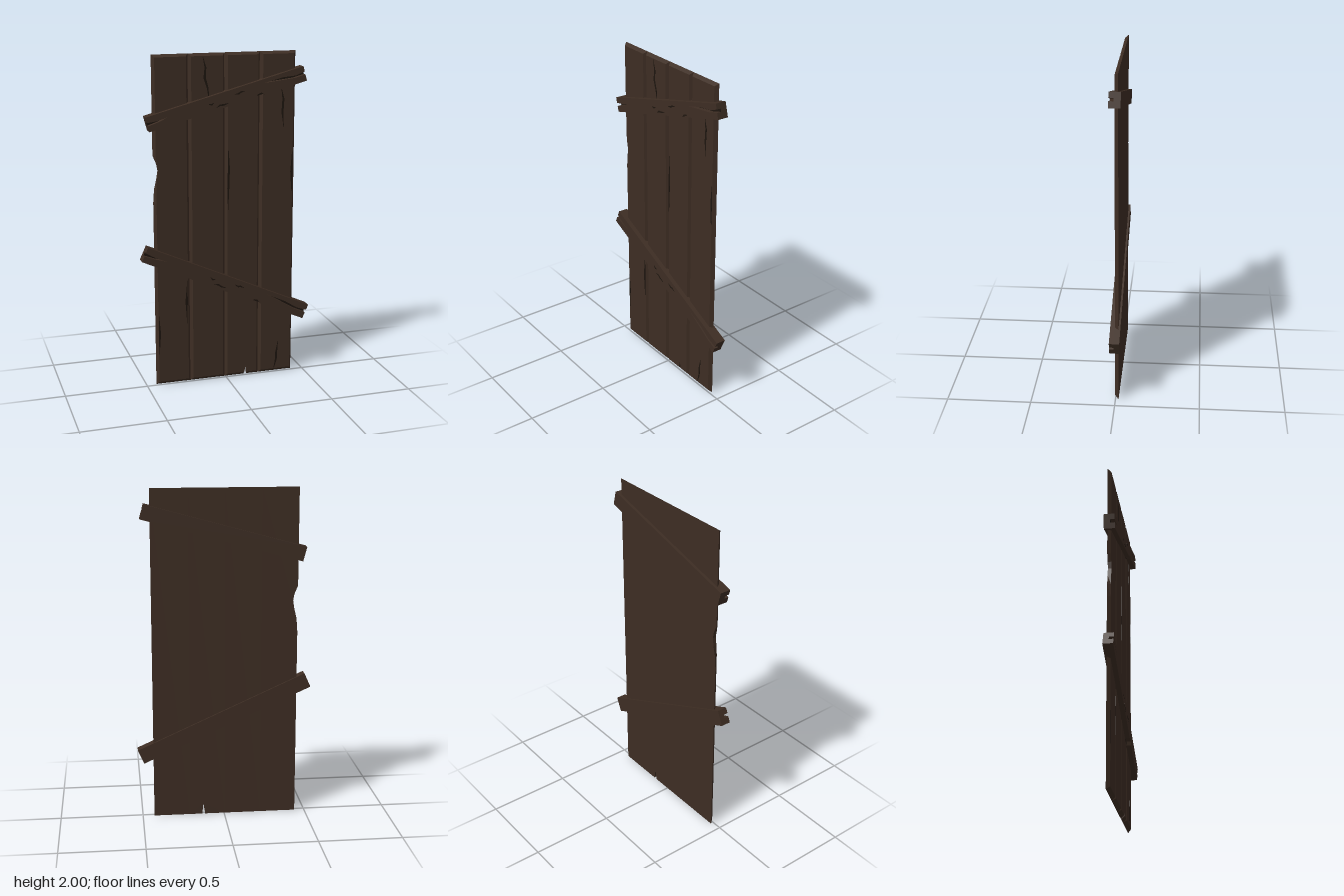
import * as THREE from 'three';

const wood = new THREE.MeshStandardMaterial({ color: 0x3d2d23, flatShading: true });
wood.name = 'dark wood';
const crackMat = new THREE.MeshStandardMaterial({ color: 0x1d150f, flatShading: true });
crackMat.name = 'crack shadow';

const BACK = -0.018, FRONT = 0.003, H = 2;
const vec = ([x, y]) => new THREE.Vector2(x, y);

function addMesh(parent, name, geometry, material) {
  const mesh = new THREE.Mesh(geometry, material);
  mesh.name = name;
  parent.add(mesh);
  return mesh;
}

// Plank: a counter-clockwise back outline lofted to a front outline pulled in by the bevel
function plankGeometry(outline, x0, x1) {
  const clamp = THREE.MathUtils.clamp;
  const back = outline.map(vec);
  const front = outline.map(([x, y]) =>
    new THREE.Vector2(clamp(x, x0 + 0.015, x1 - 0.015), clamp(y, 0.02, H - 0.015)));
  const pos = [];
  const put = (p, z) => pos.push(p.x, p.y, z);
  for (const [a, b, c] of THREE.ShapeUtils.triangulateShape(front, [])) {
    [a, b, c].forEach(i => put(front[i], FRONT));
  }
  for (const [a, b, c] of THREE.ShapeUtils.triangulateShape(back, [])) {
    [a, c, b].forEach(i => put(back[i], BACK));
  }
  back.forEach((p, i) => {
    const j = (i + 1) % back.length;
    put(p, BACK); put(back[j], BACK); put(front[j], FRONT);
    put(p, BACK); put(front[j], FRONT); put(front[i], FRONT);
  });
  const g = new THREE.BufferGeometry();
  g.setAttribute('position', new THREE.Float32BufferAttribute(pos, 3));
  g.computeVertexNormals();
  return g;
}

// Thin painted crack: tapered sliver along a path of points, widest in the middle
function crackGeometry(points, width) {
  const left = [], right = [];
  points.forEach(([x, y], i) => {
    const t = i / (points.length - 1);
    const w = width * (0.12 + 0.88 * Math.sin(Math.PI * t)) / 2;
    const [px, py] = points[Math.max(i - 1, 0)];
    const [nx, ny] = points[Math.min(i + 1, points.length - 1)];
    const len = Math.hypot(nx - px, ny - py);
    const dx = -(ny - py) / len * w, dy = (nx - px) / len * w;
    left.push([x + dx, y + dy]);
    right.unshift([x - dx, y - dy]);
  });
  const shape = new THREE.Shape([...left, ...right].map(vec));
  return new THREE.ExtrudeGeometry(shape, { depth: 0.001, bevelEnabled: false });
}

// Brace: solid back layer, and a front layer with split ends and a chipped lower edge
function makeBrace(name, length, width, y, angle, back, front) {
  const brace = new THREE.Group();
  brace.name = name;
  const mid = 0.004, h = width / 2, L = length;
  const outline = [
    [-L / 2, -h], [0.17 * L, -h], [0.185 * L, -h + 0.014], [0.21 * L, -h + 0.017], [0.225 * L, -h],
    [L / 2, -h], [L / 2, -0.006], [0.43 * L, -0.006], [0.36 * L, 0.004], [0.24 * L, 0.021],
    [0.36 * L, 0.019], [0.44 * L, 0.006], [L / 2, 0.012],
    [L / 2, h], [-L / 2, h], [-L / 2, 0.011], [-0.44 * L, 0.004], [-0.37 * L, 0.006],
    [-0.44 * L, -0.005], [-L / 2, -0.009],
  ];
  const layer = addMesh(brace, 'splitFrontLayer', new THREE.ExtrudeGeometry(
    new THREE.Shape(outline.map(vec)), { depth: front - mid, bevelEnabled: false }), wood);
  layer.position.z = mid;
  const core = addMesh(brace, 'backLayer', new THREE.BoxGeometry(L, width, mid - back),
    [wood, wood, wood, wood, crackMat, wood]);
  core.position.z = (mid + back) / 2;
  const cracks = [
    [[0.045, 0.012], [0.07, 0.008], [0.085, 0.014], [0.11, 0.012]],
    [[-0.08, -0.03], [-0.055, -0.022], [-0.03, -0.027], [0, -0.025]],
    [[-0.12, 0.004], [-0.1, -0.004], [-0.085, 0.002]],
  ];
  for (const path of cracks) {
    addMesh(brace, 'braceCrack', crackGeometry(path, 0.011), crackMat).position.z = front;
  }
  brace.position.y = y;
  brace.rotation.z = THREE.MathUtils.degToRad(angle);
  return brace;
}

export function createModel() {
  const model = new THREE.Group();
  model.name = 'plankDoor';

  // Four bevelled planks; the first has a worn edge, the third a split foot
  const edges = [-0.44, -0.225, -0.006, 0.21, 0.43];
  const wornEdge = [[-0.44, 1.42], [-0.419, 1.37], [-0.412, 1.33], [-0.42, 1.28], [-0.434, 1.22], [-0.44, 1.14]];
  const footSplit = [[0.117, 0], [0.128, 0.07], [0.135, 0]];
  for (let i = 0; i < 4; i++) {
    const x0 = edges[i], x1 = edges[i + 1];
    const outline = [[x0, 0], ...(i === 2 ? footSplit : []), [x1, 0], [x1, H], [x0, H],
      ...(i === 0 ? wornEdge : [])];
    addMesh(model, 'plank' + (i + 1), plankGeometry(outline, x0, x1), wood);
  }

  // Long grain cracks on the planks
  const grain = [
    [[-0.14, 1.98], [-0.125, 1.92], [-0.13, 1.86], [-0.112, 1.8], [-0.105, 1.74]],
    [[0.34, 1.78], [0.352, 1.72], [0.347, 1.64], [0.356, 1.55]],
    [[0.412, 1.4], [0.409, 1.28], [0.412, 1.15]],
    [[0.013, 1.44], [0.016, 1.32], [0.012, 1.2], [0.011, 1.07]],
    [[-0.243, 0.66], [-0.25, 0.52], [-0.246, 0.37]],
    [[-0.422, 0.45], [-0.418, 0.33], [-0.422, 0.2]],
    [[0.337, 0.2], [0.327, 0.13], [0.325, 0.08], [0.31, 0.02]],
  ];
  for (const path of grain) {
    addMesh(model, 'plankCrack', crackGeometry(path, 0.014), crackMat).position.z = FRONT;
  }

  // Two slanted braces wrapping the planks
  model.add(makeBrace('upperBrace', 0.987, 0.088, 1.738, 15.2, -0.035, 0.031));
  model.add(makeBrace('lowerBrace', 1.108, 0.092, 0.614, -24.2, -0.029, 0.031));
  return model;
}
